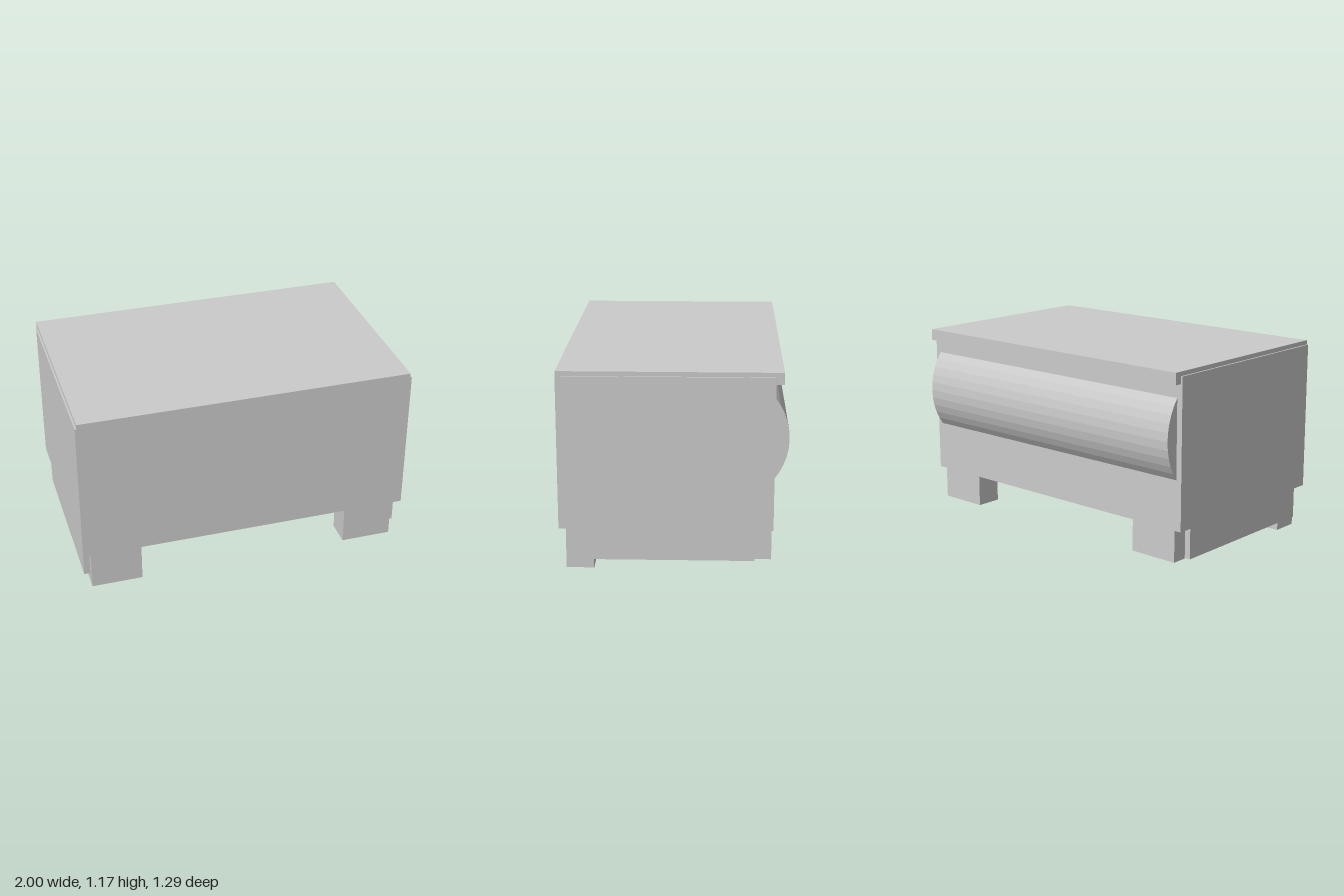
import * as THREE from 'three';

const material = new THREE.MeshStandardMaterial({ color: 0xcccccc, flatShading: true });

// Box given by its [min, max] extents on each axis
function box(name, [x0, x1], [y0, y1], [z0, z1]) {
  const geometry = new THREE.BoxGeometry(x1 - x0, y1 - y0, z1 - z0);
  geometry.translate((x0 + x1) / 2, (y0 + y1) / 2, (z0 + z1) / 2);
  const mesh = new THREE.Mesh(geometry, material);
  mesh.name = name;
  return mesh;
}

// Side profile of [z, y] points, extruded across the width and centred on x = 0
function crossBar(name, points, width) {
  const shape = new THREE.Shape(points.map(([z, y]) => new THREE.Vector2(z, y)));
  const geometry = new THREE.ExtrudeGeometry(shape, { depth: width, bevelEnabled: false });
  geometry.translate(0, 0, -width / 2).rotateY(-Math.PI / 2);
  const mesh = new THREE.Mesh(geometry, material);
  mesh.name = name;
  return mesh;
}

export function createModel() {
  const model = new THREE.Group();
  model.name = 'cabinet';

  // Main body
  model.add(box('body', [-0.99, 0.99], [0.255, 1.14], [-0.565, 0.645]));

  // Lid with a lip hanging over the back
  model.add(crossBar('lid', [
    [0.645, 1.14], [0.645, 1.166], [-0.61, 1.166],
    [-0.61, 1.097], [-0.566, 1.097], [-0.566, 1.14],
  ], 1.98));

  // Faceted curved bulge on the back
  const radius = 0.378, centreZ = -0.267, centreY = 0.783, half = 0.662, steps = 10;
  const arc = [];
  for (let i = 0; i <= steps; i++) {
    const a = -half + (2 * half * i) / steps;
    arc.push([centreZ - radius * Math.cos(a), centreY + radius * Math.sin(a)]);
  }
  model.add(crossBar('backBulge', arc, 1.93));

  // Side panels, feet and side rails, mirrored left and right
  for (const [side, s] of [['left', 1], ['right', -1]]) {
    const span = (a, b) => (s > 0 ? [a, b] : [-b, -a]);
    model.add(
      box(side + 'SidePanel', span(0.99, 1), [0.255, 1.14], [-0.565, 0.645]),
      box(side + 'FrontFoot', span(0.643, 0.95), [0, 0.255], [0.452, 0.61]),
      box(side + 'BackFoot', span(0.643, 0.95), [0.063, 0.255], [-0.557, -0.4]),
      box(side + 'SideRail', span(0.95, 0.987), [0.066, 0.255], [-0.462, 0.565]),
    );
  }
  return model;
}
